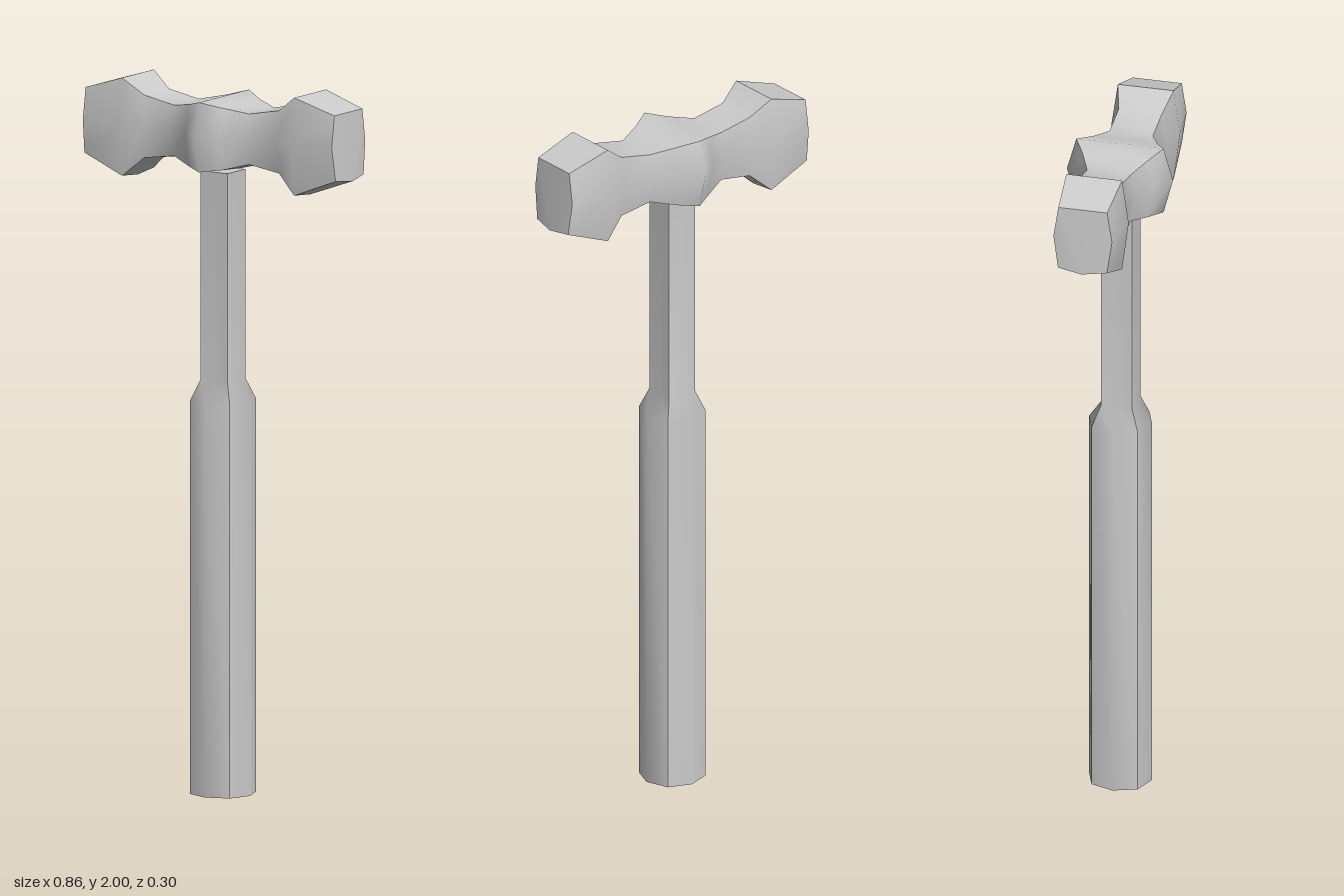
import * as THREE from 'three';
import { mergeGeometries } from 'three/addons/utils/BufferGeometryUtils.js';

// Indexed surface with its own smooth normals; seams between surfaces stay sharp.
function surface(points, index) {
  const g = new THREE.BufferGeometry();
  g.setAttribute('position', new THREE.Float32BufferAttribute(points.flat(), 3));
  g.setIndex(index);
  g.computeVertexNormals();
  return g;
}

// Skin chosen columns of a stack of cross-sections.
function panel(sections, cols) {
  const n = cols.length, index = [];
  for (let i = 0; i < sections.length - 1; i++) {
    for (let j = 0; j < n - 1; j++) {
      const a = i * n + j, c = a + n;
      index.push(a, a + 1, c, a + 1, c + 1, c);
    }
  }
  return surface(sections.flatMap(s => cols.map(k => s[k])), index);
}

// Close a loop with a fan from its first point.
function cap(loop) {
  const index = [];
  for (let i = 1; i < loop.length - 1; i++) index.push(0, i, i + 1);
  return surface(loop, index);
}

function mesh(name, parts) {
  const m = new THREE.Mesh(mergeGeometries(parts), new THREE.MeshStandardMaterial({ color: 0xcccccc }));
  m.name = name;
  return m;
}

function headGeometry() {
  // x, top y, bottom y, half width at the edges, half width at the middle
  const half = [
    [0, 1.965, 1.768, 0.125, 0.152],
    [0.055, 1.95, 1.775, 0.093, 0.112],
    [0.125, 1.936, 1.793, 0.062, 0.075],
    [0.225, 1.955, 1.778, 0.062, 0.075],
    [0.287, 2.0, 1.724, 0.08, 0.099],
    [0.415, 1.96, 1.775, 0.07, 0.084],
  ];
  const mirrored = half.slice(1).reverse().map(([x, ...rest]) => [-x, ...rest]);
  const stations = [...mirrored, ...half];

  // Seven-point section: flat top, bulging sides, slightly keeled bottom
  const sections = stations.map(([x, top, bottom, edge, mid]) => {
    const end = Math.abs(x) > 0.4 ? Math.sign(x) : 0;
    const low = x + end * 0.004;
    return [
      [x, top, -edge], [x, top, edge], [x, 1.87, mid], [low, bottom, edge],
      [x + end * 0.014, bottom - 0.008, 0], [low, bottom, -edge], [x, 1.87, -mid],
    ];
  });

  const parts = [panel(sections, [1, 2, 3]), panel(sections, [5, 6, 0])];
  // Top and bottom crease where the striking faces begin
  for (const [from, to] of [[0, 2], [1, 10], [9, 11]]) {
    const run = sections.slice(from, to);
    parts.push(panel(run, [0, 1]), panel(run, [3, 4, 5]));
  }
  // Striking faces
  const around = [4, 5, 6, 0, 1, 2, 3];
  parts.push(cap(around.map(k => sections[10][k])));
  parts.push(cap([4, 3, 2, 1, 0, 6, 5].map(k => sections[0][k])));
  return parts;
}

function handleGeometry() {
  // y, radius along the axes, half size at the corners: octagonal grip, square shaft
  const profile = [
    [0, 0.09, 0.066],
    [1.11, 0.09, 0.066],
    [1.168, 0.045, 0.045],
    [1.757, 0.045, 0.045],
  ];
  const sections = profile.map(([y, r, c]) => [
    [-c, y, c], [0, y, r], [c, y, c], [r, y, 0],
    [c, y, -c], [0, y, -r], [-c, y, -c], [-r, y, 0],
  ]);
  const parts = [];
  for (let side = 0; side < 8; side += 2) {
    parts.push(panel(sections, [side, side + 1, (side + 2) % 8]));
  }
  parts.push(cap([...sections[0]].reverse()), cap(sections[3]));
  return parts;
}

export function createModel() {
  const group = new THREE.Group();
  group.name = 'hammer';
  const handle = mesh('handle', handleGeometry());
  handle.position.set(-0.002, 0, 0.002);
  group.add(mesh('head', headGeometry()), handle);
  return group;
}
